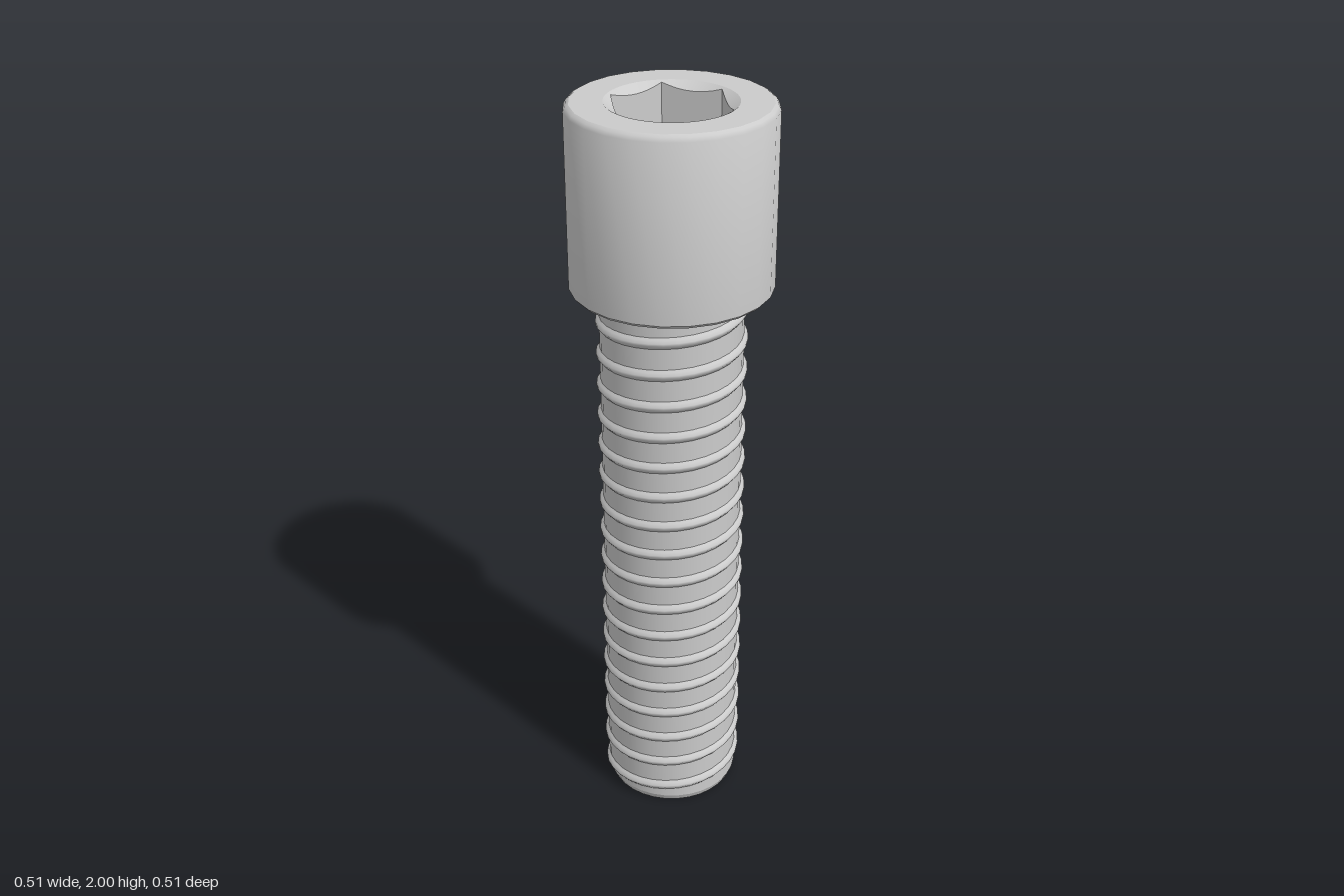
import * as THREE from 'three';
import { toCreasedNormals } from 'three/addons/utils/BufferGeometryUtils.js';

const material = new THREE.MeshStandardMaterial({ color: 0xcccccc });
const HEAD_BASE = 1.53, TOP = 2;
const RIM = 0.162, HEX = 0.155, SOCKET_DEPTH = 0.25;

function add(group, name, geometry, crease) {
  const mesh = new THREE.Mesh(crease ? toCreasedNormals(geometry, crease) : geometry, material);
  mesh.name = name;
  group.add(mesh);
  return mesh;
}

// Surface through rows of points; each row runs counter-clockwise seen from above
function loft(rows) {
  const n = rows[0].length, index = [];
  for (let i = 0; i < rows.length - 1; i++) {
    for (let j = 0; j < n - 1; j++) {
      const a = i * n + j, b = a + 1, c = a + n, d = c + 1;
      index.push(a, b, d, a, d, c);
    }
  }
  const geometry = new THREE.BufferGeometry().setFromPoints(rows.flat());
  geometry.setIndex(index);
  geometry.computeVertexNormals();
  return geometry;
}

const polar = (r, t, y) => new THREE.Vector3(r * Math.cos(t), y, -r * Math.sin(t));

function lathe(points, segments) {
  return new THREE.LatheGeometry(points.map(([r, y]) => new THREE.Vector2(r, y)), segments);
}

// Distance from the centre to the hexagon's side at angle t, corners on the x axis
function hexRadius(t) {
  const sector = Math.PI / 3;
  const local = ((t % sector) + sector) % sector - sector / 2;
  return HEX * Math.cos(sector / 2) / Math.cos(local);
}

// Right-handed helical ridge that fades into the shank at both ends
function threadGeometry() {
  const pitch = 0.0873, perTurn = 32, start = Math.PI / 2, turns = 16.9;
  const steps = Math.round(perTurn * turns);
  const section = [[0.178, -0.021], [0.188, -0.010], [0.193, -0.003],
    [0.193, 0.003], [0.188, 0.010], [0.178, 0.021]];
  const rows = section.map(([r, dy]) => {
    const row = [];
    for (let i = 0; i <= steps; i++) {
      const t = start + i / perTurn * Math.PI * 2;
      const fade = Math.min(1, i / 6, (steps - i) / 6);
      const y = 0.006 + pitch * t / (Math.PI * 2);
      row.push(polar(0.178 + (r - 0.178) * fade, t, y + dy * fade));
    }
    return row;
  });
  return loft(rows);
}

export function createModel() {
  const model = new THREE.Group();
  model.name = 'socketHeadScrew';

  // Shank with a chamfered tip
  add(model, 'shank', lathe([[0, 0], [0.174, 0], [0.183, 0.02], [0.183, HEAD_BASE]], 32), 0.4);
  add(model, 'thread', threadGeometry());

  // Head side with softened edges
  const head = new THREE.Group();
  head.name = 'head';
  model.add(head);
  add(head, 'headSide', lathe([[0.16, HEAD_BASE], [0.25, HEAD_BASE], [0.257, HEAD_BASE + 0.008],
    [0.257, 1.985], [0.251, 1.995], [0.243, TOP]], 24), 0.6);

  // Flat top with a round opening
  const ring = (r, n) => Array.from({ length: n }, (_, i) =>
    new THREE.Vector2(r * Math.cos(i / n * Math.PI * 2), r * Math.sin(i / n * Math.PI * 2)));
  const face = new THREE.Shape(ring(0.243, 24));
  face.holes.push(new THREE.Path(ring(RIM, 48)));
  add(head, 'headTop', new THREE.ShapeGeometry(face).rotateX(-Math.PI / 2).translate(0, TOP, 0));

  // Hex socket: conical lead-in, six walls and floor
  const rim = [], lip = [], base = [];
  for (let i = 0; i <= 48; i++) {
    const t = i / 48 * Math.PI * 2, r = hexRadius(t);
    rim.push(polar(RIM, t, TOP));
    lip.push(polar(r, t, TOP - (RIM - r) * 0.65));
    base.push(polar(r, t, TOP - SOCKET_DEPTH));
  }
  add(head, 'socketChamfer', loft([rim, lip]), 0.4);
  add(head, 'socketWalls', loft([lip, base]), 0.4);
  add(head, 'socketFloor',
    new THREE.CircleGeometry(HEX, 6).rotateX(-Math.PI / 2).translate(0, TOP - SOCKET_DEPTH, 0));

  return model;
}
